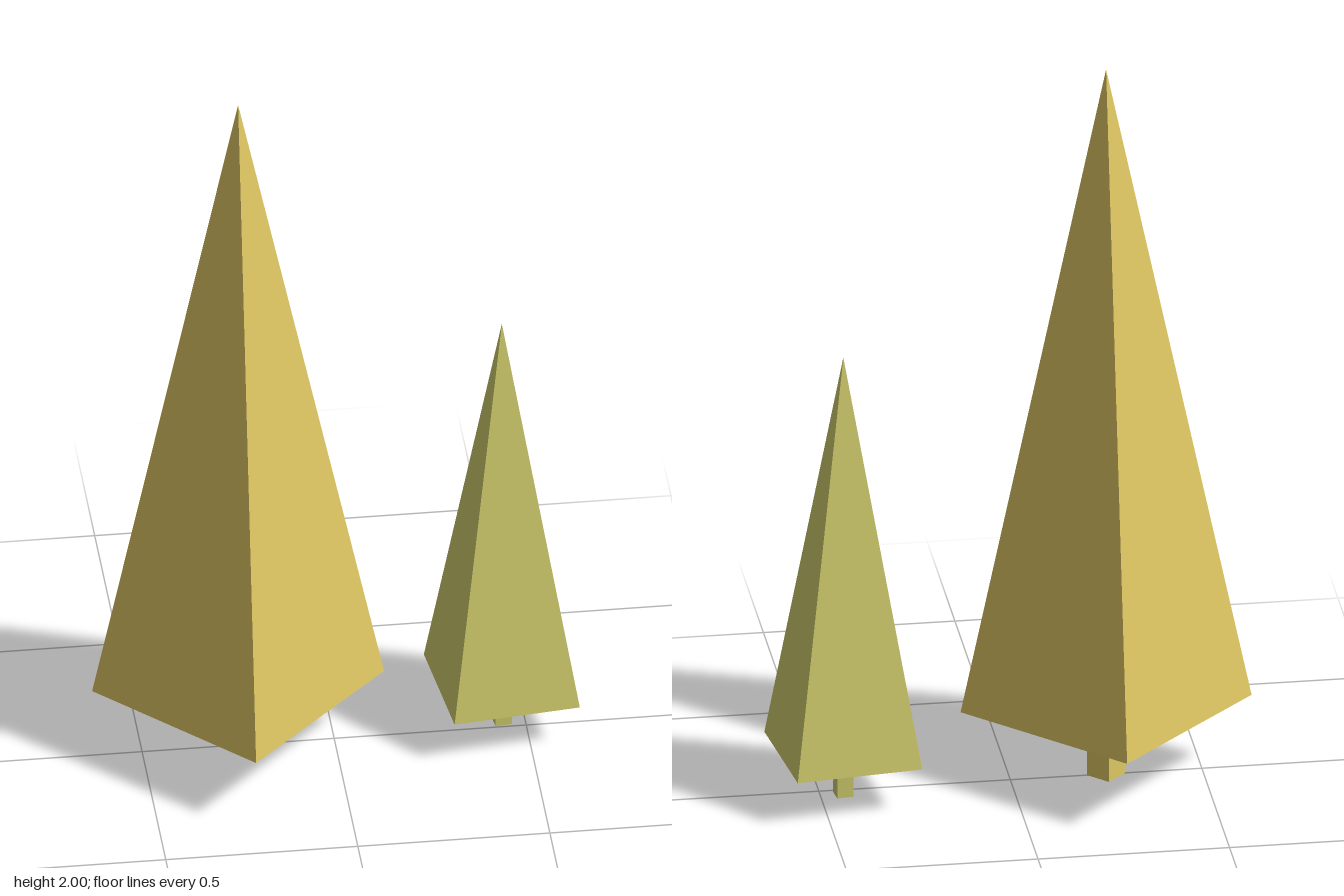
import * as THREE from 'three';

// Four-sided solid turned from a profile of [radius, height] points
function foursided(name, profile, material) {
  const points = profile.map(([r, y]) => new THREE.Vector2(r, y));
  const geometry = new THREE.LatheGeometry(points, 4).toNonIndexed();
  geometry.computeVertexNormals();
  const mesh = new THREE.Mesh(geometry, material);
  mesh.name = name;
  return mesh;
}

function makeTree(name, color) {
  const material = new THREE.MeshStandardMaterial({ color, flatShading: true });
  const tree = new THREE.Group();
  tree.name = name;
  // Slim square trunk
  tree.add(foursided('trunk', [[0, 0], [0.05, 0], [0.05, 0.2]], material));
  // Tall pyramid whose underside dips slightly between trunk and rim
  tree.add(foursided('foliage', [[0.05, 0.2], [0.27, 0.195], [0.38, 0.2], [0, 2]], material));
  return tree;
}

export function createModel() {
  const model = new THREE.Group();
  model.name = 'trees';

  const large = makeTree('largeTree', 0xdfc863);
  large.position.set(-0.25, 0, 0);

  // Smaller copy, turned
  const small = makeTree('smallTree', 0xcfcc6d);
  small.position.set(0.44, 0, -0.028);
  small.rotation.y = -0.667;
  small.scale.setScalar(0.62);

  model.add(large, small);
  return model;
}
